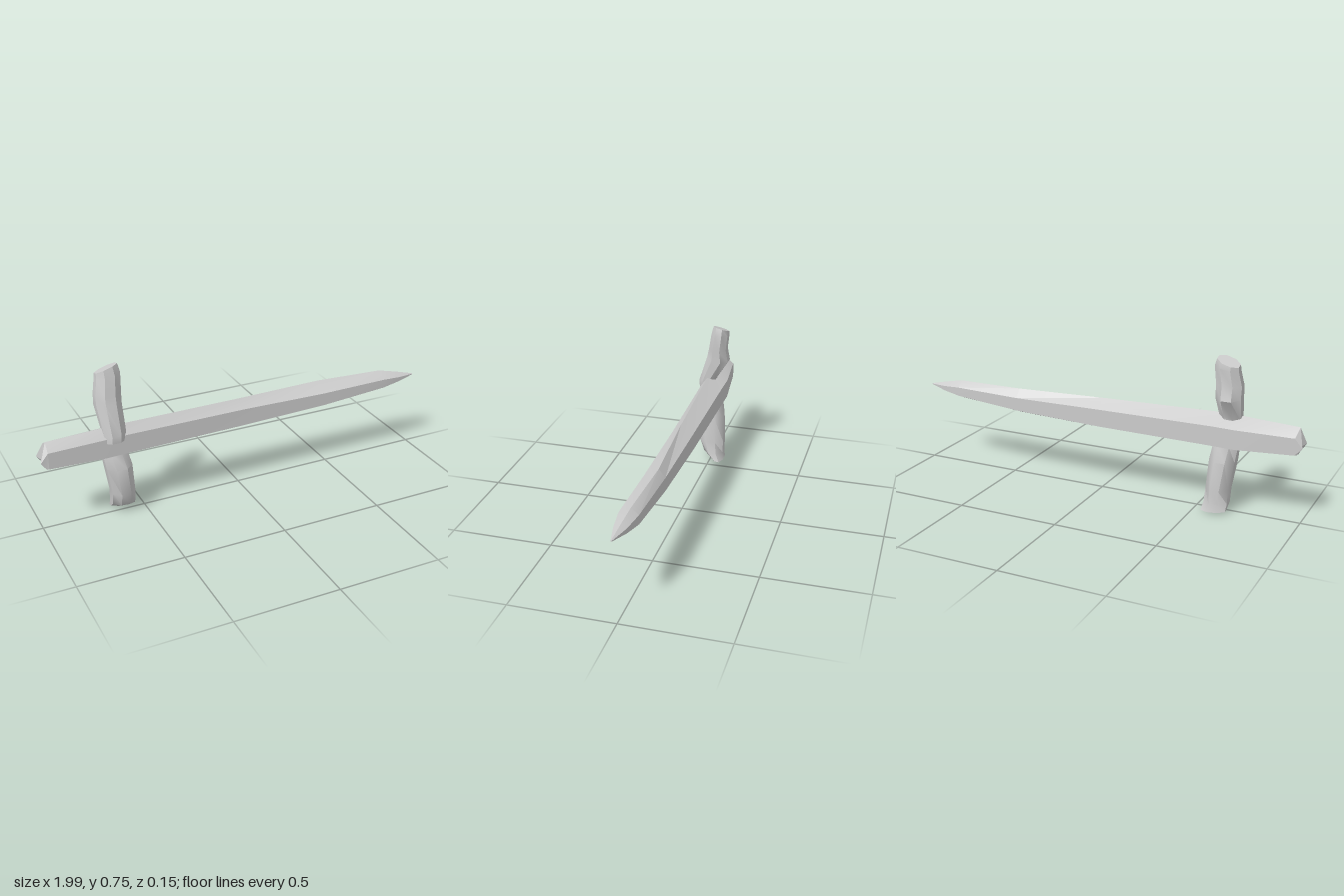
import * as THREE from 'three';
import { toCreasedNormals } from 'three/addons/utils/BufferGeometryUtils.js';

const material = new THREE.MeshStandardMaterial({ color: 0xcccccc });

// Skin a list of equal-length rings of [x, y, z] points and close both ends
function loft(name, rings, crease) {
  const n = rings[0].length, pos = [];
  const tri = (...pts) => pts.forEach((p) => pos.push(...p));
  const centre = (r) => [0, 1, 2].map((k) => r.reduce((s, p) => s + p[k], 0) / n);
  const first = rings[0], last = rings[rings.length - 1];
  for (let j = 0; j < n; j++) {
    const k = (j + 1) % n;
    for (let i = 0; i < rings.length - 1; i++) {
      const a = rings[i], b = rings[i + 1];
      tri(a[j], b[j], b[k]);
      tri(a[j], b[k], a[k]);
    }
    tri(centre(first), first[j], first[k]);
    tri(centre(last), last[k], last[j]);
  }
  const geometry = new THREE.BufferGeometry();
  geometry.setAttribute('position', new THREE.Float32BufferAttribute(pos, 3));
  const mesh = new THREE.Mesh(toCreasedNormals(geometry, crease), material);
  mesh.name = name;
  return mesh;
}

// Six-sided blade section: x, front z, back z, ridge z, then heights
// (top ridge, upper edge, lower edge, bottom ridge); lean shears it along x
function bladeRing([x, front, back, ridge, top, upper, lower, bottom, lean = 0]) {
  const keel = (front + back) / 2;
  return [
    [x + lean, lower, front], [x, upper, front], [x + lean, top, ridge],
    [x, upper, back], [x + lean, lower, back], [x + lean, bottom, keel],
  ];
}

// Oval branch section: height, centre x/z, radii x/z, tilt along x/z
function branchRing([y, cx, cz, rx, rz, tx = 0, tz = 0], sides = 8) {
  return Array.from({ length: sides }, (_, i) => {
    const a = ((i + 0.5) / sides) * Math.PI * 2;
    const grow = 1 / Math.cos(Math.PI / sides);
    const c = Math.cos(a) * grow, s = Math.sin(a) * grow;
    return [cx + rx * c, y + tx * c + tz * s, cz + rz * s];
  });
}

export function createModel() {
  const group = new THREE.Group();
  group.name = 'woodenSword';

  // Long faceted blade and grip in one piece
  const blade = [
    [-0.995, 0.055, -0.025, 0.02, 0.453, 0.37, 0.335, 0.33, 0.025],
    [-0.96, 0.058, -0.03, 0.02, 0.455, 0.415, 0.335, 0.33],
    [-0.69, 0.06, -0.06, 0.025, 0.467, 0.422, 0.328, 0.31],
    [-0.58, 0.058, -0.059, 0.025, 0.47, 0.424, 0.33, 0.31],
    [0.0, 0.048, -0.056, 0.005, 0.462, 0.42, 0.335, 0.32],
    [0.45, 0.049, -0.05, -0.02, 0.455, 0.413, 0.348, 0.327],
    [0.8, 0.05, -0.04, -0.005, 0.448, 0.418, 0.374, 0.354],
    [0.9, 0.038, -0.02, 0.005, 0.426, 0.408, 0.385, 0.37],
    [0.995, 0.018, 0.012, 0.015, 0.402, 0.4, 0.397, 0.395],
  ].map(bladeRing);
  group.add(loft('blade', blade, 0.25));

  // Crooked stub above the grip
  const upper = [
    [0.4, -0.645, 0.035, 0.052, 0.04],
    [0.445, -0.642, 0.033, 0.052, 0.045, 0.008, -0.01],
    [0.565, -0.647, -0.02, 0.06, 0.056, 0, 0.01],
    [0.62, -0.647, -0.018, 0.061, 0.045],
    [0.7, -0.638, -0.03, 0.057, 0.043, 0.01],
    [0.732, -0.642, -0.034, 0.051, 0.037, 0.016, 0.01],
  ].map((r) => branchRing(r));
  group.add(loft('upperGuard', upper, 0.6));

  // Broad stub below the grip
  const lower = [
    [0.008, -0.597, -0.043, 0.06, 0.028, -0.005, 0.003],
    [0.045, -0.603, -0.015, 0.057, 0.051],
    [0.11, -0.605, -0.004, 0.055, 0.064],
    [0.25, -0.622, 0.003, 0.062, 0.062],
    [0.33, -0.637, -0.005, 0.06, 0.04],
  ].map((r) => branchRing(r));
  group.add(loft('lowerGuard', lower, 0.8));

  return group;
}
